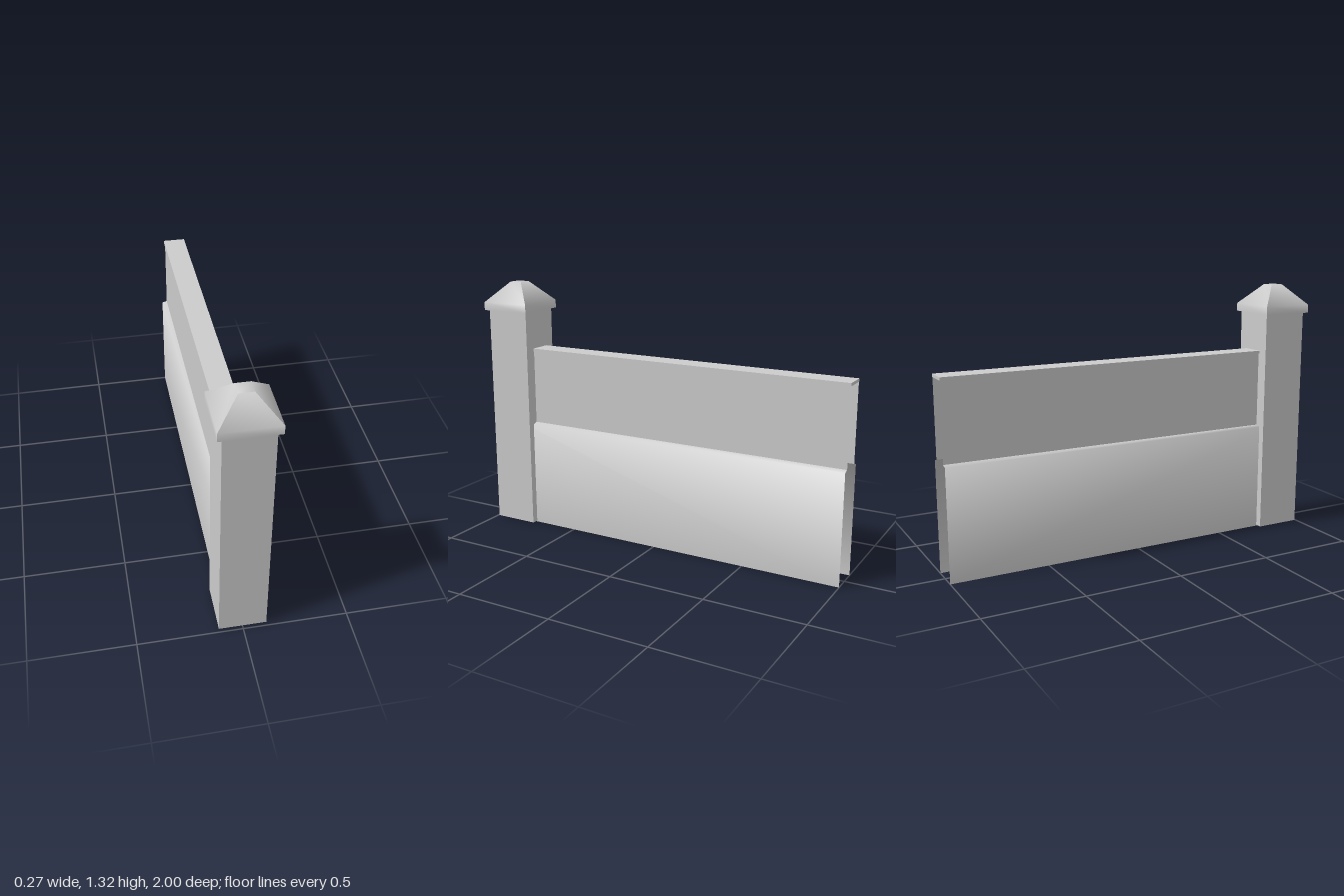
import * as THREE from 'three';
import { toCreasedNormals } from 'three/addons/utils/BufferGeometryUtils.js';

const BACK = -1, FRONT = 0.83; // wall ends; the front end is sunk into the post
const POST_Z = 0.866;

const smooth = new THREE.MeshStandardMaterial({ color: 0xcccccc, side: THREE.DoubleSide });
const flat = new THREE.MeshStandardMaterial({ color: 0xcccccc, side: THREE.DoubleSide, flatShading: true });

// Sweeps an [x, y] profile, listed top to bottom on the +x side, along z.
// side = -1 mirrors it.
function sheet(profile, side) {
  const pos = [];
  for (let i = 0; i < profile.length - 1; i++) {
    const [x0, y0] = profile[i], [x1, y1] = profile[i + 1];
    const a = [side * x0, y0, FRONT], b = [side * x1, y1, FRONT];
    const c = [side * x1, y1, BACK], d = [side * x0, y0, BACK];
    const quad = side > 0 ? [a, b, c, a, c, d] : [a, c, b, a, d, c];
    pos.push(...quad.flat());
  }
  const geo = new THREE.BufferGeometry();
  geo.setAttribute('position', new THREE.Float32BufferAttribute(pos, 3));
  return toCreasedNormals(geo, THREE.MathUtils.degToRad(85));
}

export function createModel() {
  const model = new THREE.Group();
  model.name = 'wallWithPost';

  const add = (name, geometry, material, parent = model) => {
    const mesh = new THREE.Mesh(geometry, material);
    mesh.name = name;
    parent.add(mesh);
    return mesh;
  };

  // Hollow square post, open at the bottom
  const post = new THREE.CylinderGeometry(Math.SQRT1_2, Math.SQRT1_2, 1.17, 4, 1, true, Math.PI / 4);
  post.scale(0.227, 1, 0.238);
  add('post', post, flat).position.set(0, 0.59, POST_Z);

  // Four-sided cap: short rim, sloped sides, small flat top
  const capProfile = [[0, 1.173], [0.135, 1.173], [0.135, 1.215], [0.034, 1.32], [0, 1.32]]
    .map(([r, y]) => new THREE.Vector2(r * Math.SQRT2, y));
  const cap = toCreasedNormals(
    new THREE.LatheGeometry(capProfile, 4, Math.PI / 4),
    THREE.MathUtils.degToRad(50));
  add('postCap', cap, smooth).position.z = POST_Z;

  // Hollow wall: thin upper and lower panels on both sides
  const wall = new THREE.Group();
  wall.name = 'wall';
  model.add(wall);
  for (const [label, side] of [['left', 1], ['right', -1]]) {
    add(label + 'UpperPanel', sheet([[0.052, 0.965], [0.052, 0.57]], side), smooth, wall);
    add(label + 'LowerPanel', sheet([[0.052, 0.57], [0.078, 0.562], [0.078, 0]], side), smooth, wall);
  }

  // Coping strip, slightly wider than the upper panels
  add('coping', new THREE.BoxGeometry(0.116, 0.015, FRONT - BACK), flat, wall)
    .position.set(0, 0.9675, (FRONT + BACK) / 2);

  return model;
}
